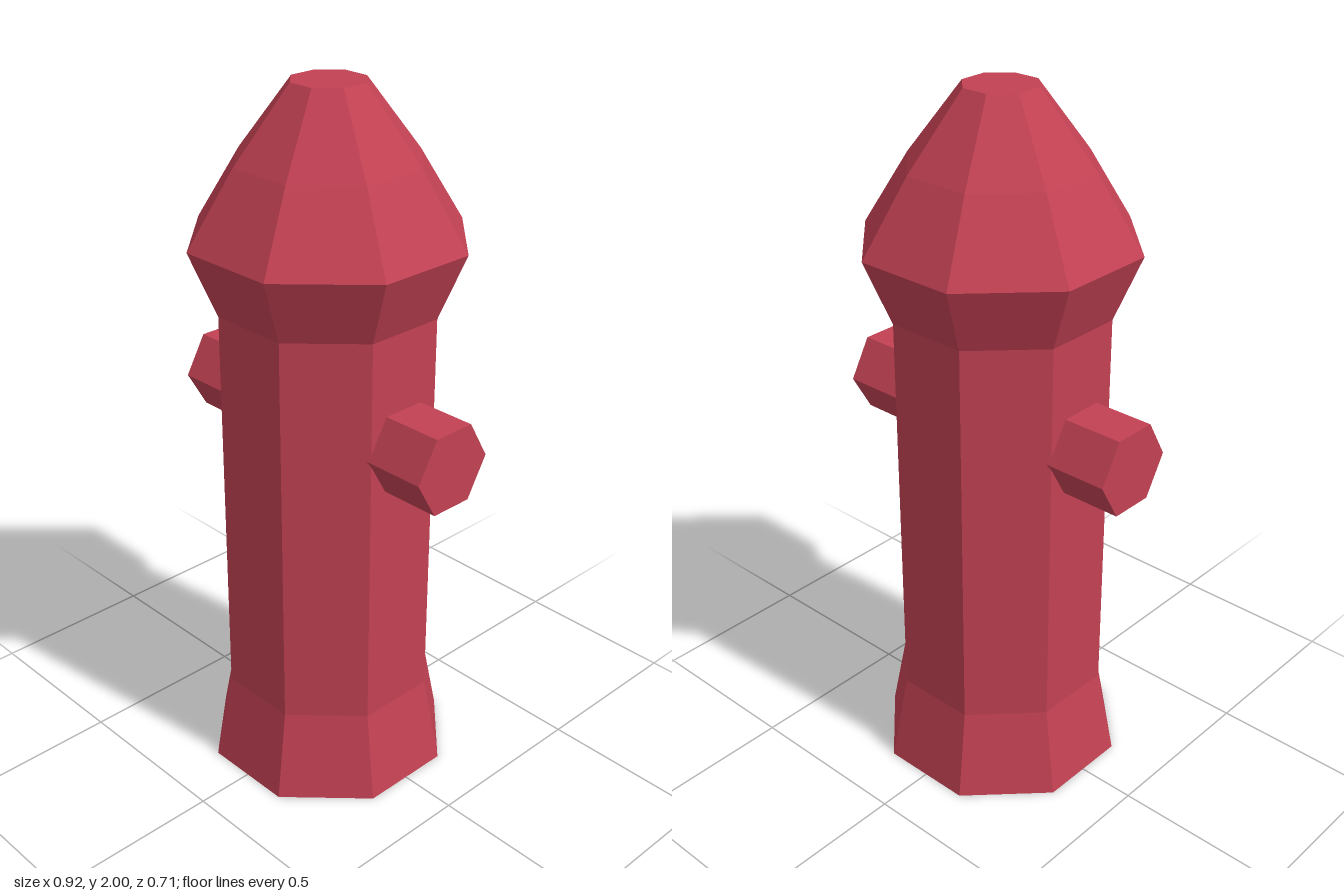
import * as THREE from 'three';

// Separate the faces so every facet gets its own flat normal
function faceted(geometry) {
  const flat = geometry.toNonIndexed();
  flat.computeVertexNormals();
  return flat;
}

// Octagonal solid with flat sides facing the axes; rows are [half width, y]
function octagonal(name, rows, material) {
  const points = rows.map(([w, y]) => new THREE.Vector2(w / Math.cos(Math.PI / 8), y));
  const geometry = new THREE.LatheGeometry(points, 8);
  geometry.rotateY(Math.PI / 8);
  const mesh = new THREE.Mesh(faceted(geometry), material);
  mesh.name = name;
  return mesh;
}

export function createModel() {
  const group = new THREE.Group();
  group.name = 'fireHydrant';
  const red = new THREE.MeshStandardMaterial({ color: 0xc24153 });
  red.name = 'hydrant red';

  // Flared foot, straight barrel and domed cap
  group.add(octagonal('base', [[0, 0], [0.33, 0], [0.283, 0.26]], red));
  group.add(octagonal('barrel', [[0.283, 0.26], [0.283, 1.41]], red));
  group.add(octagonal('cap', [[0.283, 1.41], [0.354, 1.595], [0.236, 1.8], [0.095, 2], [0, 2]], red));

  // Hexagonal side outlets
  for (const side of [1, -1]) {
    const geometry = new THREE.CylinderGeometry(0.127, 0.127, 0.2, 6);
    geometry.rotateZ(Math.PI / 2);
    const outlet = new THREE.Mesh(faceted(geometry), red);
    outlet.name = side > 0 ? 'leftOutlet' : 'rightOutlet';
    outlet.position.set(side * 0.36, 1.08, 0);
    group.add(outlet);
  }
  return group;
}
